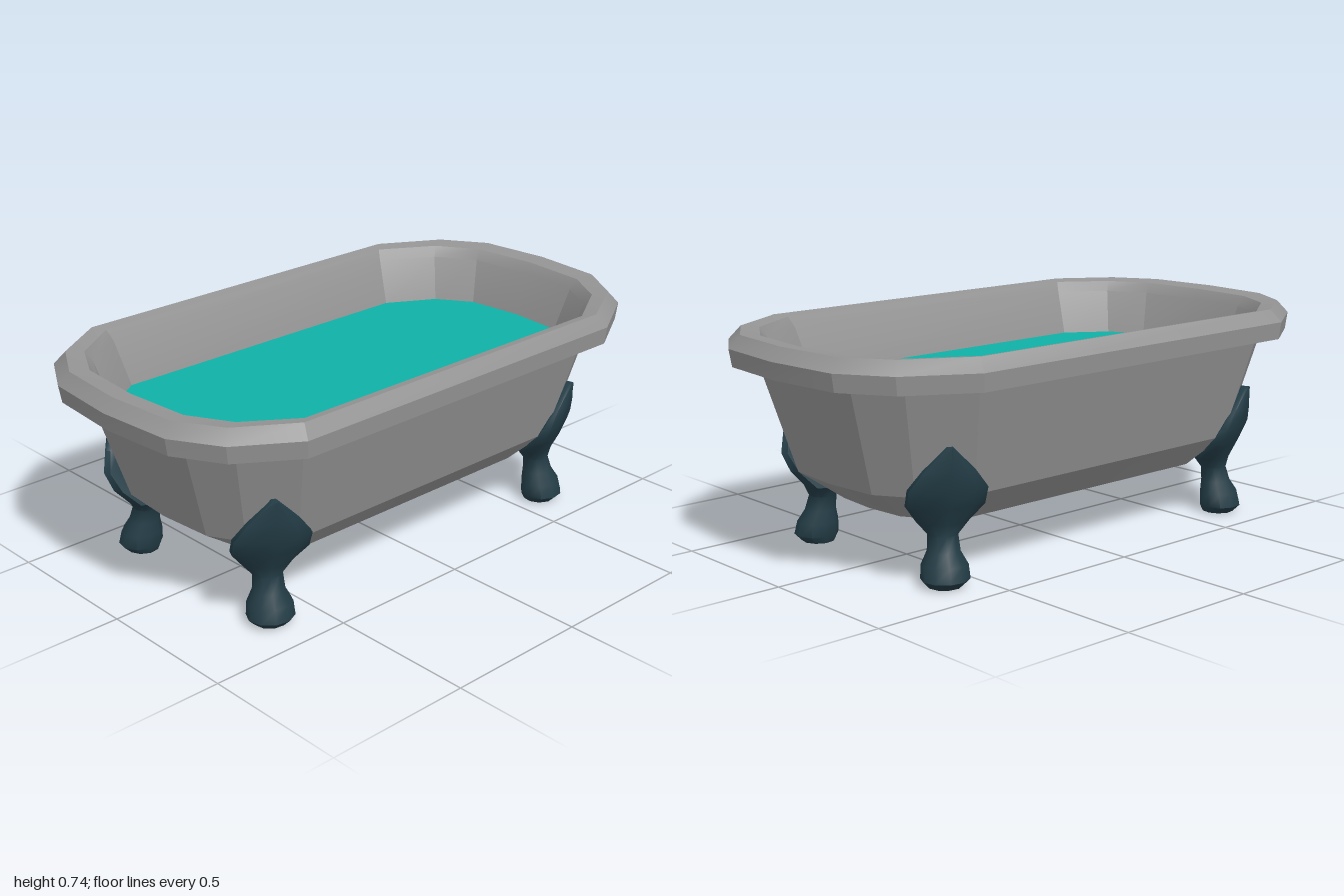
import * as THREE from 'three';
import { toCreasedNormals } from 'three/addons/utils/BufferGeometryUtils.js';

// Stadium-like tub outline with faceted ends, counter-clockwise seen from above
function tubRing(hx, hz, y) {
  const cx = hx * 0.5 + 0.17;
  const end = [[1, 0], [0.93, 0.48], [0.63, 0.77], [0, 1]];
  const at = (sx, sz, [t, k]) => {
    const corner = sx * cx - 0.02;
    return [corner + (sx * hx - corner) * t, y, sz * hz * k];
  };
  return [
    ...end.map(p => at(1, -1, p)),
    ...end.slice().reverse().map(p => at(-1, -1, p)),
    ...end.slice(1).map(p => at(-1, 1, p)),
    ...end.slice(1).reverse().map(p => at(1, 1, p)),
  ];
}

// Elliptical leg section, same winding
function legRing(y, w, back, front) {
  const n = 10, mid = (back + front) / 2, d = (front - back) / 2;
  return Array.from({ length: n }, (_, i) => {
    const a = (i / n) * Math.PI * 2 + Math.PI / 2;
    return [w * Math.cos(a), y, mid - d * Math.sin(a)];
  });
}

// Joins rings into a skin, with optional fan caps at the first and last ring
function loft(rings, crease, capStart = true) {
  const pos = [];
  const tri = (...pts) => pts.forEach(p => pos.push(...p));
  const n = rings[0].length;
  const centre = ring => [0, 1, 2].map(k => ring.reduce((s, p) => s + p[k], 0) / n);
  const first = rings[0], last = rings[rings.length - 1];
  const c0 = centre(first), c1 = centre(last);
  for (let j = 0; j < n; j++) {
    const k = (j + 1) % n;
    for (let i = 0; i < rings.length - 1; i++) {
      const lo = rings[i], hi = rings[i + 1];
      tri(lo[j], lo[k], hi[k]);
      tri(lo[j], hi[k], hi[j]);
    }
    if (capStart) tri(c0, first[k], first[j]);
    tri(c1, last[j], last[k]);
  }
  const geo = new THREE.BufferGeometry();
  geo.setAttribute('position', new THREE.Float32BufferAttribute(pos, 3));
  geo.computeVertexNormals();
  return toCreasedNormals(geo, crease);
}

function material(name, color) {
  const m = new THREE.MeshStandardMaterial({ color });
  m.name = name;
  return m;
}

export function createModel() {
  const model = new THREE.Group();
  model.name = 'bathtub';
  const enamel = material('grey enamel', 0x949494);
  const iron = material('dark iron', 0x233c46);
  const bathWater = material('teal water', 0x0fb0a6);

  const add = (name, geo, mat) => {
    const mesh = new THREE.Mesh(geo, mat);
    mesh.name = name;
    model.add(mesh);
    return mesh;
  };

  // Tub: underside, outer wall, rolled rim, inner wall and floor
  const profile = [
    [0.65, 0.30, 0.185],
    [0.80, 0.40, 0.29],
    [0.91, 0.49, 0.645],
    [0.99, 0.555, 0.642],
    [1.0, 0.56, 0.70],
    [0.965, 0.525, 0.742],
    [0.90, 0.49, 0.735],
    [0.875, 0.47, 0.70],
    [0.83, 0.412, 0.55],
    [0.74, 0.35, 0.30],
    [0.62, 0.26, 0.23],
  ];
  add('tub', loft(profile.map(p => tubRing(...p)), 0.4), enamel);

  // Water surface
  add('water', loft([tubRing(0.832, 0.414, 0.552)], 0.4, false), bathWater);

  // Claw legs: paw, narrow ankle and a diamond plate hugging the tub's corner
  const sections = [
    [0, 0.055, -0.035, 0.075],
    [0.025, 0.078, -0.045, 0.1],
    [0.07, 0.074, -0.045, 0.088],
    [0.11, 0.052, -0.042, 0.062],
    [0.16, 0.048, -0.045, 0.045],
    [0.2, 0.085, -0.07, 0.055],
    [0.26, 0.128, -0.02, 0.085],
    [0.32, 0.13, 0.03, 0.108],
    [0.38, 0.085, 0.055, 0.118],
    [0.455, 0.01, 0.085, 0.125],
  ];
  const legGeo = loft(sections.map(s => legRing(...s)), 0.9);
  for (const sx of [-1, 1]) {
    for (const sz of [-1, 1]) {
      const leg = add(`${sz > 0 ? 'front' : 'back'}${sx > 0 ? 'Left' : 'Right'}Leg`, legGeo, iron);
      leg.position.set(sx * 0.625 - 0.02, 0, sz * 0.312);
      leg.rotation.y = sz > 0 ? sx * 0.45 : Math.PI - sx * 0.45;
    }
  }
  return model;
}
